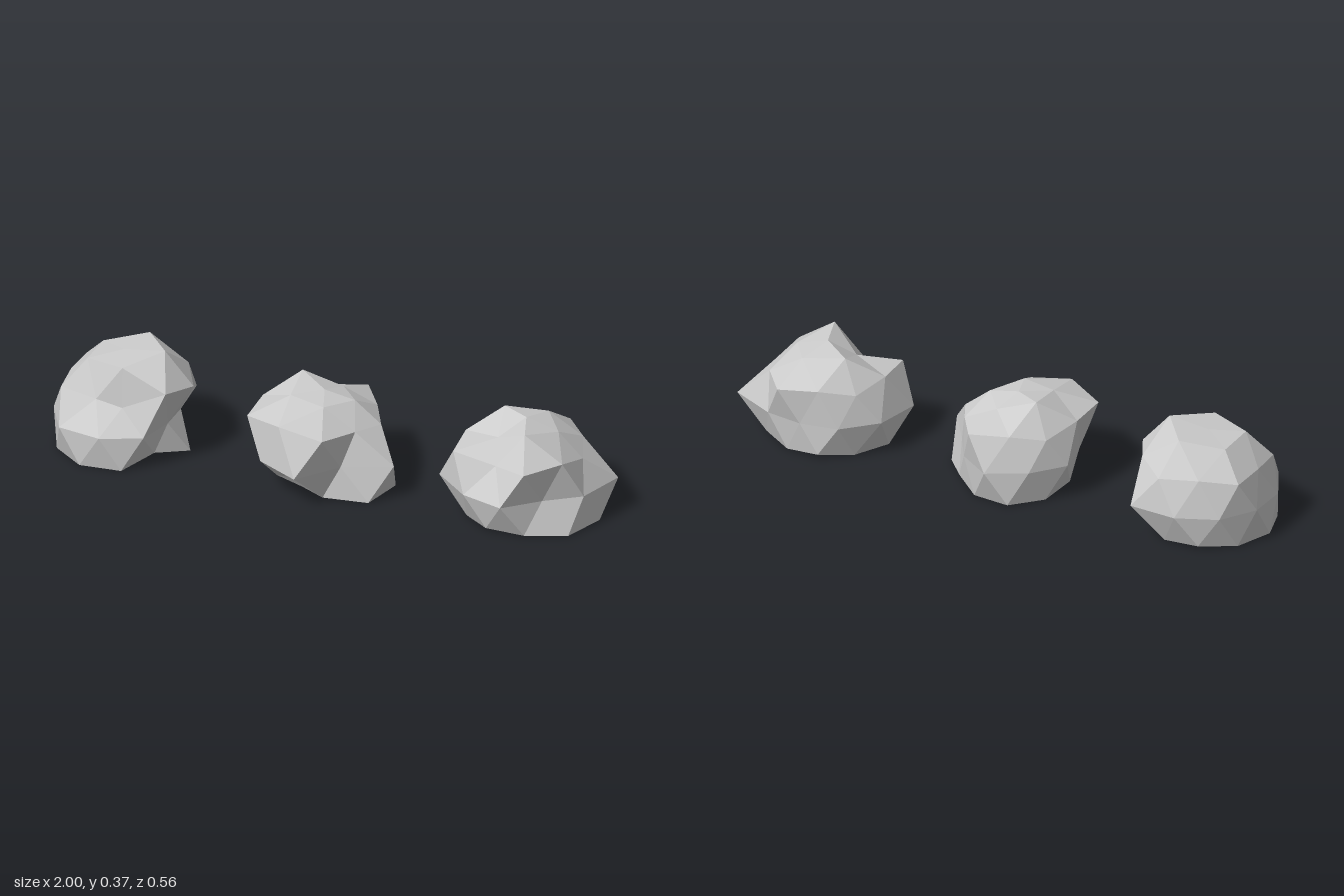
import * as THREE from 'three';

// Each rock is a 42-corner ball. Radii are listed by level, going round from +x towards +z.
const CENTRE_Y = 0.122, CENTRE_Z = -0.025, BASE_RADIUS = 0.24;
const ROCKS = [
  {
    name: 'rightRock', x: -0.767, top: 0.225,
    crown: [0.286, 0.26, 0.245, 0.24, 0.273],
    upper: [0.284, 0.3, 0.175, 0.18, 0.25, 0.225, 0.255, 0.25, 0.27, 0.27],
    middle: [0.191, 0.243, 0.25, 0.267, 0.24, 0.235, 0.245, 0.258, 0.299, 0.195],
    lower: [0.285, 0.21, 0.28, 0.275, 0.28, 0.263, 0.26, 0.25, 0.25, 0.165],
  },
  {
    name: 'middleRock', x: -0.035, top: 0.2,
    crown: [0.21, 0.225, 0.23, 0.257, 0.2],
    upper: [0.23, 0.22, 0.285, 0.3, 0.308, 0.265, 0.235, 0.23, 0.27, 0.22],
    middle: [0.301, 0.2, 0.305, 0.265, 0.21, 0.238, 0.23, 0.258, 0.21, 0.197],
    lower: [0.304, 0.3, 0.224, 0.175, 0.2, 0.22, 0.24, 0.265, 0.25, 0.23],
  },
  {
    name: 'leftRock', x: 0.7, top: 0.225,
    crown: [0.223, 0.266, 0.19, 0.251, 0.235],
    upper: [0.23, 0.26, 0.28, 0.2, 0.29, 0.26, 0.24, 0.25, 0.272, 0.237],
    middle: [0.25, 0.198, 0.262, 0.26, 0.298, 0.26, 0.235, 0.21, 0.229, 0.314],
    lower: [0.314, 0.288, 0.25, 0.25, 0.25, 0.263, 0.24, 0.24, 0.23, 0.237],
  },
];

// Radius of the corner lying in direction p
function radiusAt(rock, p) {
  const degrees = THREE.MathUtils.radToDeg(Math.atan2(p.z, p.x));
  const pick = (list, angle) => {
    const n = list.length;
    return list[((Math.round((angle * n) / 360) % n) + n) % n];
  };
  if (p.y > 0.95) return rock.top;
  if (p.y > 0.7) return pick(rock.crown, degrees);
  if (p.y > 0.3) return pick(rock.upper, degrees);
  if (p.y > -0.3) return pick(rock.middle, degrees - 18);
  if (p.y > -0.7) return pick(rock.lower, degrees);
  return BASE_RADIUS;
}

function makeRock(rock, material) {
  // Ball turned so that one corner points straight up
  const geometry = new THREE.IcosahedronGeometry(1, 1);
  geometry.rotateZ(Math.atan(2 / (1 + Math.sqrt(5))));
  geometry.rotateY(Math.PI);

  // Push corners in or out, then flatten the underside on the ground
  const position = geometry.attributes.position;
  const p = new THREE.Vector3();
  for (let i = 0; i < position.count; i++) {
    p.fromBufferAttribute(position, i).normalize();
    p.multiplyScalar(radiusAt(rock, p));
    position.setXYZ(i, p.x, Math.max(0, p.y + CENTRE_Y), p.z);
  }
  geometry.computeVertexNormals();

  const mesh = new THREE.Mesh(geometry, material);
  mesh.name = rock.name;
  mesh.position.set(rock.x, 0, CENTRE_Z);
  return mesh;
}

export function createModel() {
  const group = new THREE.Group();
  group.name = 'rocks';
  const material = new THREE.MeshStandardMaterial({ color: 0xcccccc, flatShading: true });
  for (const rock of ROCKS) group.add(makeRock(rock, material));
  return group;
}
